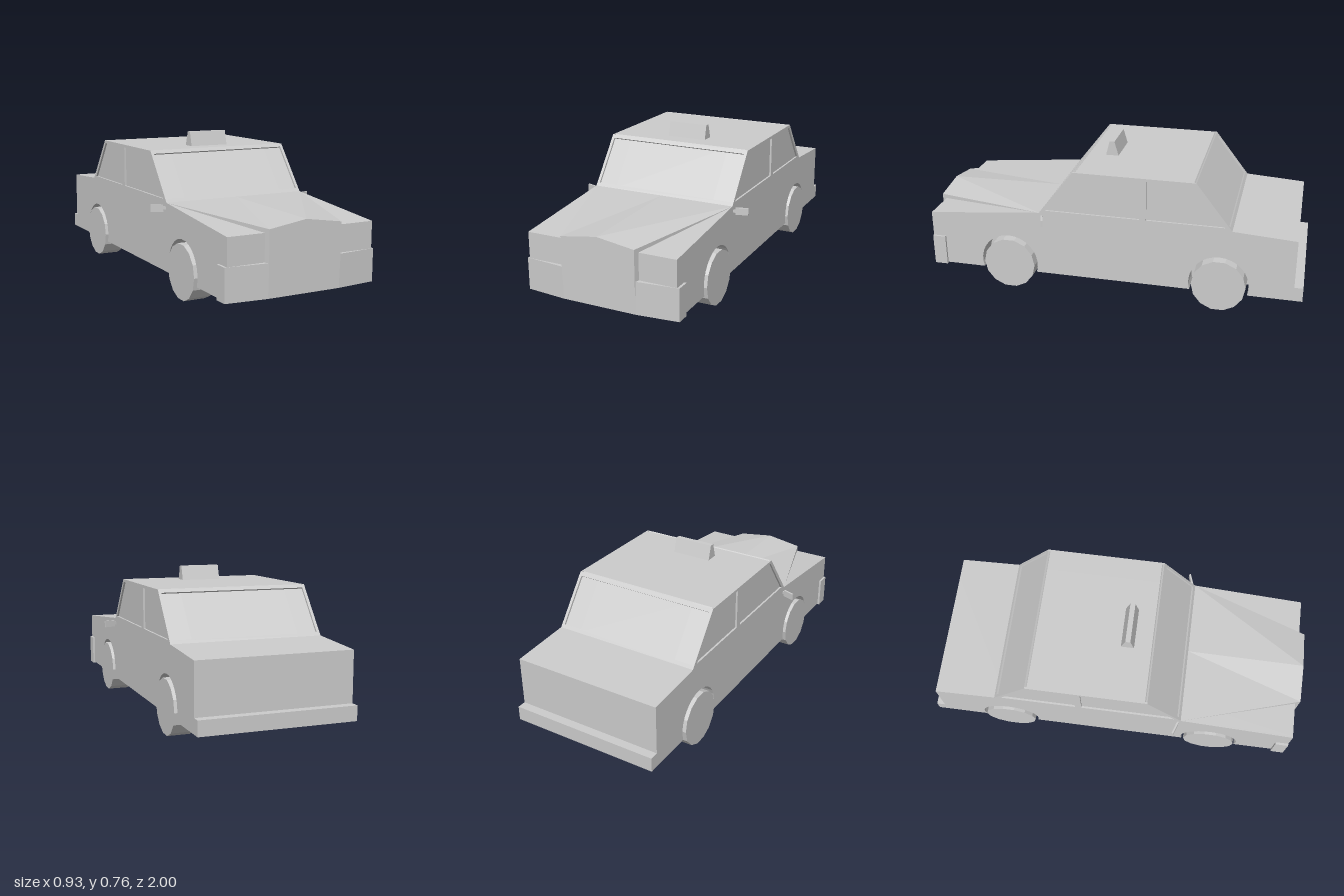
import * as THREE from 'three';

const material = new THREE.MeshStandardMaterial({ color: 0xcccccc, flatShading: true, side: THREE.DoubleSide });
const HALF = 0.395, SKIN = 0.01, WELL = 0.28;
const WHEELS_Z = [0.545, -0.575];

function add(parent, name, geometry) {
  const mesh = new THREE.Mesh(geometry, material);
  mesh.name = name;
  parent.add(mesh);
  return mesh;
}

const toShape = (pts) => new THREE.Shape(pts.map(([a, b]) => new THREE.Vector2(a, b)));

// Extrudes a side outline of [z, y] points from x0 to x1
function sideExtrude(pts, x0, x1, holes = []) {
  const flip = (list) => list.map(([z, y]) => [-z, y]);
  const shape = toShape(flip(pts));
  holes.forEach((h) => shape.holes.push(toShape(flip(h))));
  return new THREE.ExtrudeGeometry(shape, { depth: x1 - x0, bevelEnabled: false })
    .rotateY(Math.PI / 2).translate(x0, 0, 0);
}

// Side outline; inset sinks the front and rear glass
function outline(inset) {
  return [
    [0.975, 0.1], [0.975, 0.392], [0.37, 0.45], [0.37 - inset, 0.45], [0.185 - inset, 0.69],
    [-0.445 + inset, 0.69], [-0.632 + inset, 0.45], [-0.632, 0.45], [-0.955, 0.43], [-0.955, 0.1],
  ].filter((p, i, all) => i === 0 || p[0] !== all[i - 1][0] || p[1] !== all[i - 1][1]);
}

// Wheel arches along the bottom edge, from rear to front
function archPoints() {
  const pts = [], r = 0.155, cy = 0.145, low = Math.asin((cy - 0.1) / r), n = 18;
  for (const cz of [...WHEELS_Z].reverse()) {
    for (let i = 0; i <= n; i++) {
      const a = Math.PI + low - (i / n) * (Math.PI + 2 * low);
      pts.push([cz + r * Math.cos(a), cy + r * Math.sin(a)]);
    }
  }
  return pts;
}

// Raised hood running down into the grille
function hoodGeometry() {
  const front = [[-0.195, 0.19], [-0.195, 0.412], [0, 0.441], [0.195, 0.412], [0.195, 0.19]];
  const back = [[-HALF, 0.3], [-HALF, 0.45], [0, 0.45], [HALF, 0.45], [HALF, 0.3]];
  const pos = [...front.map(([x, y]) => [x, y, 1]), ...back.map(([x, y]) => [x, y, 0.37])].flat();
  const index = [0, 4, 3, 0, 3, 2, 0, 2, 1];
  for (let i = 0; i < 4; i++) index.push(i, i + 1, i + 6, i, i + 6, i + 5);
  const g = new THREE.BufferGeometry();
  g.setAttribute('position', new THREE.Float32BufferAttribute(pos, 3));
  g.setIndex(index);
  const flat = g.toNonIndexed();
  flat.computeVertexNormals();
  return flat;
}

// Frame around a sloping window, from the sill to the roof edge
function windowFrame(zSill, zRoof) {
  const rise = 0.24, run = zSill - zRoof, len = Math.hypot(rise, run);
  const rect = (w, lo, hi) => [[-w, lo], [w, lo], [w, hi], [-w, hi]];
  const shape = toShape(rect(HALF, 0, len));
  shape.holes.push(toShape(rect(0.38, len * 0.065, len * 0.935)));
  const depth = 0.01;
  return new THREE.ExtrudeGeometry(shape, { depth, bevelEnabled: false })
    .translate(0, 0, run > 0 ? -depth : 0)
    .rotateX(-Math.atan2(run, rise))
    .translate(0, 0.45, zSill);
}

export function createModel() {
  const car = new THREE.Group();
  car.name = 'car';

  // Body: solid centre, arched flanks and thin side skins with window openings
  const body = new THREE.Group();
  body.name = 'body';
  car.add(body);
  const inner = outline(0.0125), arches = archPoints();
  add(body, 'centreBody', sideExtrude(inner, -WELL, WELL));
  const windows = [
    [[0.335, 0.465], [0.175, 0.675], [-0.16, 0.675], [-0.16, 0.465]],
    [[-0.195, 0.465], [-0.195, 0.675], [-0.435, 0.675], [-0.595, 0.465]],
  ];
  const glassX = HALF - SKIN;
  for (const s of [1, -1]) {
    const span = (a, b) => (s > 0 ? [a, b] : [-b, -a]);
    const side = s > 0 ? 'left' : 'right';
    add(body, side + 'Flank', sideExtrude([...inner, ...arches], ...span(WELL, glassX)));
    add(body, side + 'SidePanel', sideExtrude([...outline(0), ...arches], ...span(glassX, HALF), windows));
  }
  add(body, 'windshieldFrame', windowFrame(0.37, 0.185));
  add(body, 'rearWindowFrame', windowFrame(-0.632, -0.445));
  add(body, 'hoodAndGrille', hoodGeometry());

  // Bumpers
  const plan = [[-0.407, 0.905], [-0.407, 0.975], [-0.195, 0.996], [0.195, 0.996], [0.407, 0.975], [0.407, 0.905]];
  add(car, 'frontBumper', new THREE.ExtrudeGeometry(toShape(plan), { depth: 0.163, bevelEnabled: false })
    .rotateX(Math.PI / 2).translate(0, 0.258, 0));
  add(car, 'rearBumper', new THREE.BoxGeometry(2 * HALF, 0.075, 0.055)).position.set(0, 0.1375, -0.9725);

  // Roof sign
  add(car, 'roofSign', sideExtrude([[0.083, 0.685], [0.062, 0.766], [0.036, 0.766], [0.012, 0.685]], -0.107, 0.107));

  // Wheels and mirrors
  for (const s of [1, -1]) {
    const side = s > 0 ? 'left' : 'right';
    WHEELS_Z.forEach((z, i) => {
      const wheel = new THREE.CylinderGeometry(0.14, 0.14, 0.115, 14).rotateZ(Math.PI / 2);
      add(car, side + (i ? 'RearWheel' : 'FrontWheel'), wheel).position.set(s * 0.3475, 0.14, z);
    });
    const mirror = new THREE.Group();
    mirror.name = side + 'Mirror';
    mirror.position.set(s * HALF, 0.422, 0.358);
    mirror.rotation.y = s * 0.33;
    add(mirror, 'mirrorArm', new THREE.BoxGeometry(0.03, 0.014, 0.007)).position.x = s * 0.005;
    add(mirror, 'mirrorHousing', new THREE.BoxGeometry(0.063, 0.036, 0.01)).position.x = s * 0.043;
    car.add(mirror);
  }
  return car;
}
